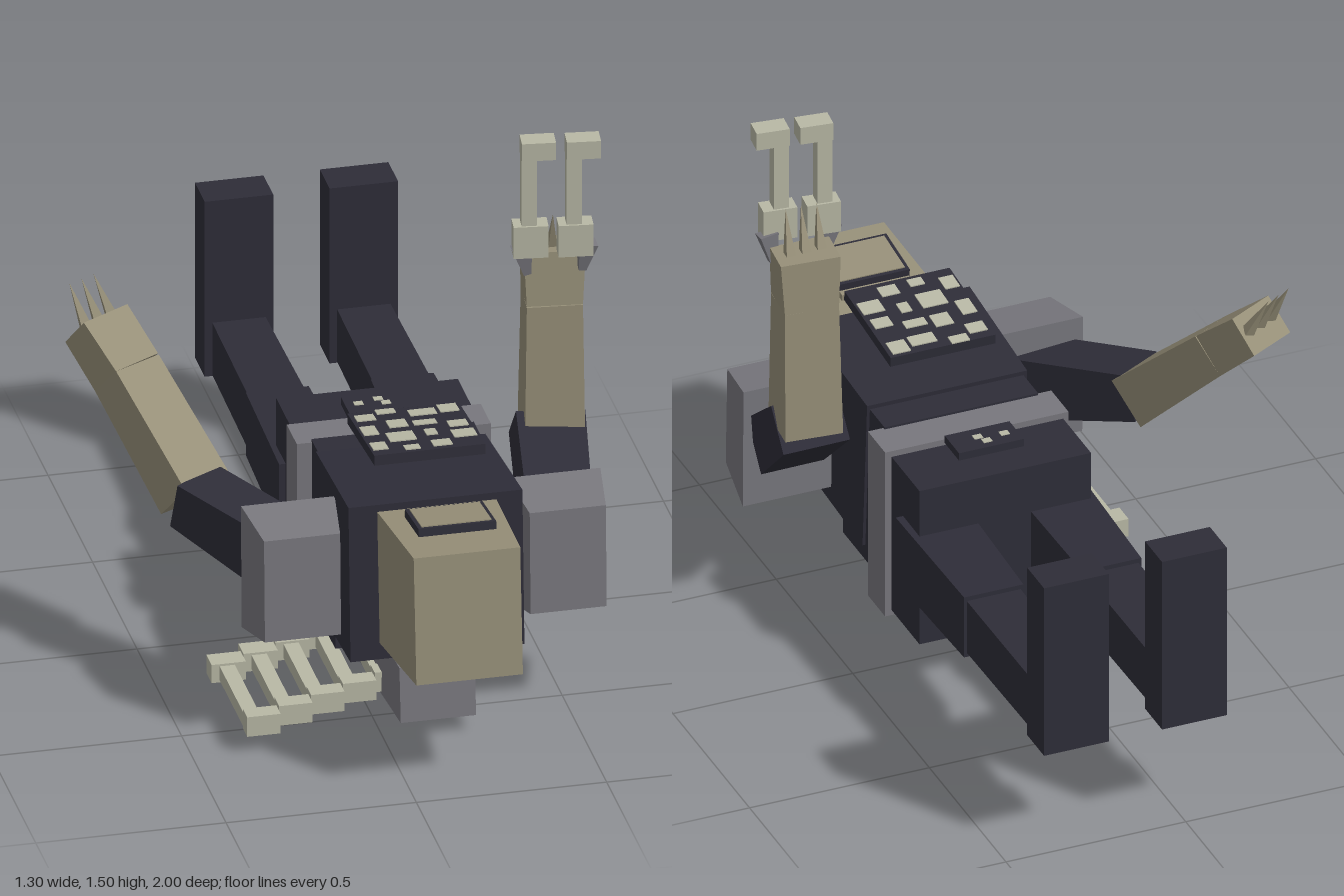
import * as THREE from 'three';

export function createModel() {
  const model = new THREE.Group();
  model.name = 'recliningFigure';
  const paint = (name, color) => {
    const m = new THREE.MeshStandardMaterial({ color });
    m.name = name;
    return m;
  };
  const dark = paint('darkCloth', 0x2e2d38);
  const grey = paint('greyArmour', 0x78777d);
  const tan = paint('tanSkin', 0x968f78);
  const pale = paint('paleBone', 0xb8b8a5);

  const add = (name, geometry, material, parent = model) => {
    const mesh = new THREE.Mesh(geometry, material);
    mesh.name = name;
    parent.add(mesh);
  };

  // Axis-aligned block from its limits
  const block = (name, mat, x0, x1, y0, y1, z0, z1, parent) => {
    const g = new THREE.BoxGeometry(x1 - x0, y1 - y0, z1 - z0);
    g.translate((x0 + x1) / 2, (y0 + y1) / 2, (z0 + z1) / 2);
    add(name, g, mat, parent);
  };

  // Block whose end faces are given as [x0, x1, bottomY, bottomZ, topY, topZ]
  const wedge = (name, mat, back, front) => {
    const g = new THREE.BoxGeometry(1, 1, 1);
    const p = g.attributes.position;
    for (let i = 0; i < p.count; i++) {
      const f = p.getZ(i) > 0 ? front : back;
      const k = p.getY(i) > 0 ? 4 : 2;
      p.setXYZ(i, p.getX(i) > 0 ? f[1] : f[0], f[k], f[k + 1]);
    }
    g.computeVertexNormals();
    add(name, g, mat);
  };

  // Matrix with local z running along a to b and local x close to side
  const frame = (a, b, side) => {
    const dir = b.clone().sub(a).normalize();
    const up = dir.clone().cross(side).normalize();
    const right = up.clone().cross(dir);
    return new THREE.Matrix4().makeBasis(right, up, dir).setPosition(a);
  };

  // Tapered limb segment, sizes are [width, depth] at both ends
  const limb = (name, mat, from, to, sizeA, sizeB, sideways) => {
    const a = new THREE.Vector3(...from), b = new THREE.Vector3(...to);
    const g = new THREE.BoxGeometry(1, 1, 1);
    const p = g.attributes.position, len = a.distanceTo(b);
    for (let i = 0; i < p.count; i++) {
      const end = p.getZ(i) > 0;
      const s = end ? sizeB : sizeA;
      p.setXYZ(i, p.getX(i) * s[0], p.getY(i) * s[1], end ? len : 0);
    }
    g.applyMatrix4(frame(a, b, new THREE.Vector3(...sideways)));
    g.computeVertexNormals();
    add(name, g, mat);
  };
  const X = [1, 0, 0];

  // Head with raised face plate
  wedge('head', tan, [-0.018, 0.295, 0.297, 0.665, 0.66, 0.637], [0, 0.28, 0.34, 1, 0.69, 0.97]);
  const facePlate = new THREE.Group();
  facePlate.name = 'facePlate';
  facePlate.position.set(0.138, 0.7, 0.795);
  facePlate.rotation.x = -0.13;
  model.add(facePlate);
  block('faceFrame', dark, -0.102, 0.102, -0.011, 0.011, -0.078, 0.078, facePlate);
  block('facePanel', tan, -0.092, 0.092, 0.01, 0.014, -0.068, 0.068, facePlate);
  block('brow', tan, -0.097, 0.097, -0.02, -0.002, -0.105, -0.086, facePlate);

  // Torso, belt and hips
  wedge('chest', dark, [-0.085, 0.36, 0.205, 0.265, 0.64, 0.235], [-0.09, 0.367, 0.24, 0.645, 0.672, 0.622]);
  block('abdomen', dark, -0.075, 0.352, 0.16, 0.628, 0.14, 0.41);
  block('belt', grey, -0.115, 0.395, 0.13, 0.622, 0.035, 0.148);
  block('hips', dark, -0.1, 0.377, 0.145, 0.605, -0.147, 0.036);
  block('buckle', dark, 0.05, 0.23, 0.612, 0.634, -0.06, 0.034);
  for (const [x, z] of [[0.085, -0.015], [0.14, -0.03], [0.155, -0.005]])
    block('buckleSpot', pale, x - 0.012, x + 0.012, 0.633, 0.636, z - 0.01, z + 0.01);

  // Floating chest plate with pale blotches
  const plate = new THREE.Group();
  plate.name = 'chestPlate';
  plate.position.set(0.138, 0.753, 0.405);
  plate.rotation.x = -0.1;
  model.add(plate);
  block('chestPlateBase', dark, -0.146, 0.146, -0.014, 0.014, -0.145, 0.158, plate);
  const blotches = [
    [-0.11, -0.1, 0.05, 0.04], [-0.05, -0.13, 0.05, 0.03], [0.04, -0.1, 0.07, 0.04],
    [0.11, -0.11, 0.05, 0.05], [-0.12, -0.01, 0.04, 0.06], [-0.04, -0.04, 0.05, 0.05],
    [0.03, -0.03, 0.06, 0.03], [0.11, 0, 0.05, 0.04], [-0.05, 0.05, 0.07, 0.06],
    [0.03, 0.04, 0.03, 0.04], [0.11, 0.07, 0.06, 0.05], [-0.12, 0.1, 0.04, 0.05],
    [0.04, 0.12, 0.05, 0.04], [-0.04, 0.13, 0.04, 0.03]];
  for (const [x, z, w, d] of blotches)
    block('blotch', pale, x - w / 2, x + w / 2, 0.013, 0.017, z - d / 2, z + d / 2, plate);

  // Legs with upright feet, and shoulder guards
  for (const [side, s] of [['left', 1], ['right', -1]]) {
    const x = 0.14 + s * 0.164;
    limb(side + 'Thigh', dark, [x, 0.375, -0.04], [x, 0.375, -0.46], [0.187, 0.19], [0.165, 0.18], X);
    limb(side + 'Shin', dark, [x, 0.375, -0.45], [x, 0.375, -0.9], [0.15, 0.155], [0.14, 0.15], X);
    block(side + 'Foot', dark, x - 0.09, x + 0.09, 0.297, 0.8, -1, -0.89);
    const c = 0.14 + s * 0.349;
    wedge(side + 'ShoulderGuard', grey,
      [c - 0.123, c + 0.123, 0.275, 0.455, 0.62, 0.45], [c - 0.1, c + 0.1, 0.31, 0.62, 0.595, 0.61]);
  }

  // Left arm raised straight up
  limb('leftUpperArm', dark, [0.5, 0.46, 0.44], [0.528, 0.645, 0.21], [0.17, 0.15], [0.18, 0.13], X);
  limb('leftForearm', tan, [0.538, 0.64, 0.217], [0.538, 1.01, 0.222], [0.155, 0.145], [0.145, 0.12], [1, 0, 0.1]);
  limb('leftHand', tan, [0.538, 1.01, 0.222], [0.54, 1.157, 0.218], [0.145, 0.12], [0.16, 0.1], [1, 0, 0.1]);

  // Right arm reaching up and back
  const across = [0.88, 0, -0.47];
  limb('rightUpperArm', dark, [-0.2, 0.46, 0.47], [-0.4, 0.535, 0.2], [0.15, 0.17], [0.15, 0.13], across);
  limb('rightForearm', tan, [-0.39, 0.53, 0.185], [-0.515, 0.775, -0.05], [0.15, 0.14], [0.145, 0.12], across);
  limb('rightHand', tan, [-0.515, 0.775, -0.05], [-0.572, 0.875, -0.15], [0.145, 0.12], [0.15, 0.11], across);

  // Pointed fingers
  const spike = (name, from, to) => {
    const a = new THREE.Vector3(...from), b = new THREE.Vector3(...to);
    const len = a.distanceTo(b);
    const g = new THREE.ConeGeometry(0.019, len, 4).toNonIndexed();
    g.rotateY(Math.PI / 4);
    g.rotateX(Math.PI / 2);
    g.translate(0, 0, len / 2);
    g.applyMatrix4(frame(a, b, new THREE.Vector3(1, 0, 0)));
    g.computeVertexNormals();
    add(name, g, tan);
  };
  for (let i = 0; i < 3; i++) {
    spike('rightFinger', [-0.605 + i * 0.039, 0.88, -0.125 - i * 0.022], [-0.637 + i * 0.036, 0.985, -0.175 - i * 0.019]);
    spike('leftFinger', [0.495 + i * 0.043, 1.145, 0.22], [0.487 + i * 0.043, 1.268, 0.268]);
  }

  // Hooked prong: foot block, stem and head block, built upright
  const prong = (name, length, footHeight) => {
    const g = new THREE.Group();
    g.name = name;
    block('prongFoot', pale, -0.045, 0.045, 0, footHeight, -0.026, 0.026, g);
    block('prongStem', pale, -0.024, 0.016, footHeight, length - 0.05, -0.02, 0.02, g);
    block('prongHead', pale, -0.024, 0.064, length - 0.05, length, -0.028, 0.028, g);
    model.add(g);
    return g;
  };

  // Two prongs above the raised hand, on small grey mounts
  for (const [x, z] of [[0.466, 0.285], [0.58, 0.302]]) {
    const p = prong('raisedProng', 0.33, 0.09);
    p.position.set(x, 1.17, z);
    p.rotation.y = -0.12;
  }
  limb('prongMount', grey, [0.46, 1.11, 0.275], [0.443, 1.19, 0.28], [0.02, 0.02], [0.05, 0.04], X);
  limb('prongMount', grey, [0.603, 1.11, 0.28], [0.615, 1.19, 0.29], [0.02, 0.02], [0.05, 0.04], X);

  // Pack under the back
  wedge('backPack', grey, [0.035, 0.245, 0.004, 0.135, 0.19, 0.125], [0.042, 0.24, 0.05, 0.645, 0.2, 0.63]);

  // Row of staggered prongs lying beside the pack
  for (let i = 0; i < 5; i++) {
    const p = prong('lyingProng', 0.37, 0.06);
    p.rotation.x = Math.PI / 2;
    p.position.set(-0.335 + i * 0.095, 0.08 - i * 0.003, 0.265 - i * 0.048);
  }

  return model;
}
